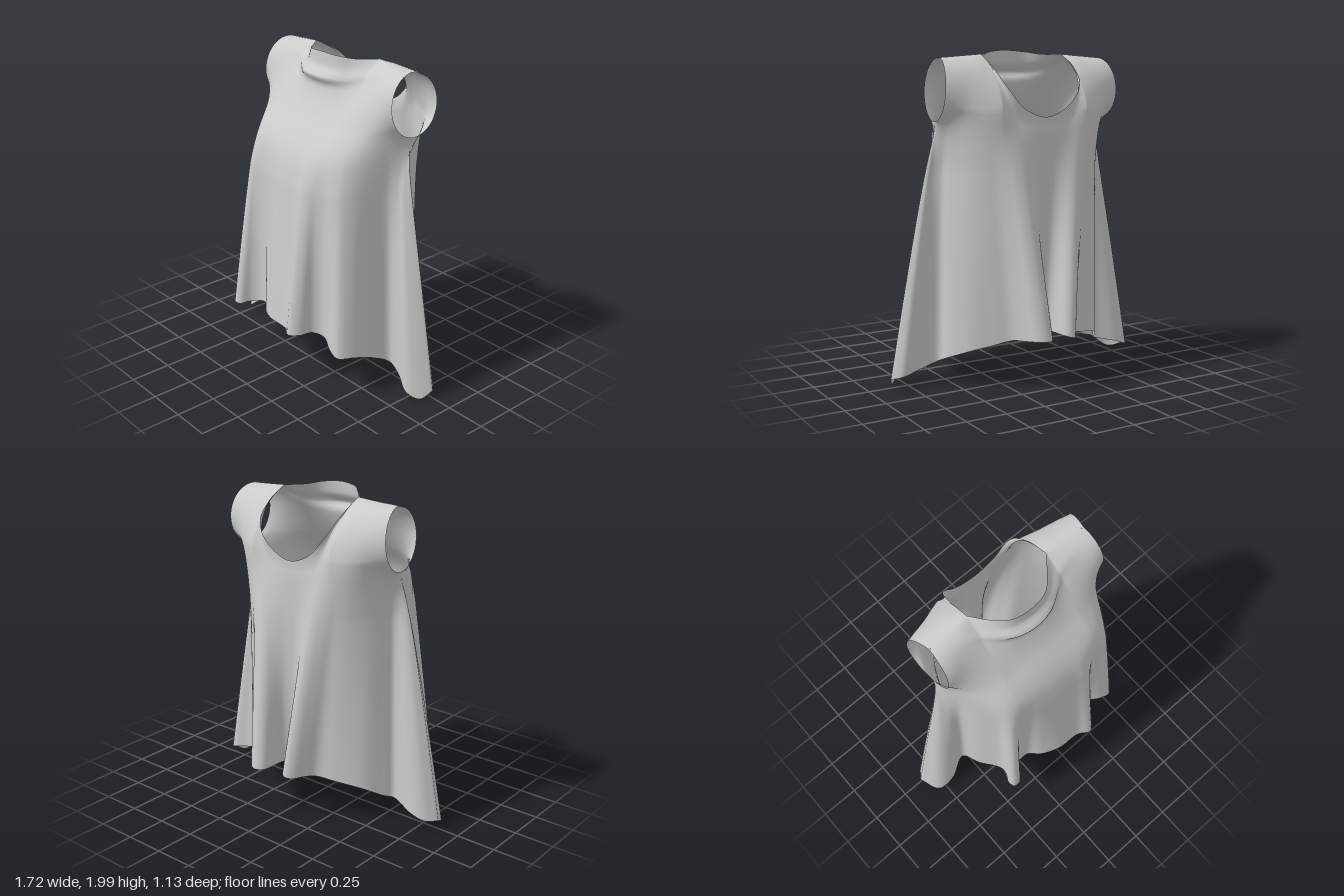
import * as THREE from 'three';
import { mergeGeometries, mergeVertices } from 'three/addons/utils/BufferGeometryUtils.js';

const V = (x, y, z) => new THREE.Vector3(x, y, z);
const { lerp, smoothstep } = THREE.MathUtils;
const curve = (pts) => {
  const c = new THREE.CatmullRomCurve3(pts.map((p) => V(...p)), false, 'centripetal');
  c.arcLengthDivisions = 600;
  return c;
};
const COLS = 150, YOKE_ROWS = 30, SKIRT_ROWS = 40, SEAM = 0.36;

// Wavy hems, from the left side tip to the right side tip
const frontHem = curve([
  [0.86, 0.06, 0], [0.82, 0.01, 0.07], [0.75, 0.05, 0.12], [0.65, 0.1, 0.08], [0.55, 0.14, 0.06],
  [0.52, 0.2, 0.17], [0.53, 0.27, 0.33], [0.48, 0.28, 0.43], [0.4, 0.3, 0.42], [0.3, 0.33, 0.38],
  [0.24, 0.35, 0.42], [0.23, 0.36, 0.51], [0.18, 0.36, 0.56], [0.1, 0.36, 0.52], [-0.05, 0.36, 0.51],
  [-0.17, 0.35, 0.46], [-0.24, 0.35, 0.4], [-0.31, 0.34, 0.4], [-0.36, 0.33, 0.44], [-0.39, 0.32, 0.5],
  [-0.44, 0.32, 0.505], [-0.455, 0.31, 0.46], [-0.42, 0.28, 0.36], [-0.5, 0.2, 0.2], [-0.55, 0.14, 0.08],
  [-0.68, 0.09, 0.14], [-0.8, 0.01, 0.12], [-0.86, 0.06, 0],
]);
const backHem = curve([
  [0.86, 0.06, 0], [0.8, 0.08, -0.05], [0.7, 0.1, -0.03], [0.56, 0.14, -0.03], [0.53, 0.18, -0.12],
  [0.45, 0.23, -0.23], [0.33, 0.27, -0.31], [0.24, 0.3, -0.37], [0.2, 0.31, -0.46], [0.17, 0.32, -0.54],
  [0.11, 0.32, -0.57], [0.065, 0.32, -0.54], [0.045, 0.32, -0.37], [0, 0.32, -0.34], [-0.03, 0.32, -0.37],
  [-0.045, 0.32, -0.49], [-0.08, 0.31, -0.52], [-0.12, 0.3, -0.5], [-0.16, 0.3, -0.43], [-0.2, 0.29, -0.36],
  [-0.31, 0.27, -0.31], [-0.45, 0.23, -0.22], [-0.53, 0.16, -0.1], [-0.56, 0.14, -0.05],
  [-0.72, 0.1, -0.09], [-0.8, 0.07, -0.07], [-0.86, 0.06, 0],
]);

// Half necklines, from the shoulder to the middle: high in front, scooped behind
const mirrored = (pts) => curve([...pts, ...pts.slice(0, -1).reverse().map(([x, y, z]) => [-x, y, z])]);
const frontNeck = mirrored([[0.28, 1.975, -0.07], [0.2, 1.975, 0.03], [0.12, 1.99, 0.105], [0, 2, 0.13]]);
const backNeck = mirrored([[0.28, 1.975, -0.07], [0.28, 1.91, -0.2], [0.26, 1.81, -0.315],
  [0.225, 1.75, -0.345], [0.14, 1.66, -0.35], [0, 1.61, -0.355]]);

// Ring under the arms where the yoke meets the skirt
function chest(u, front) {
  const c = Math.cos(Math.PI * u), s = Math.max(0, Math.sin(Math.PI * u));
  const round = Math.sin(Math.PI / 2 * s);
  return V(0.585 * Math.sign(c) * Math.abs(c) ** 0.8,
    1.585 - (front ? 0.135 : 0.07) * s,
    -0.06 + (front ? 0.46 * round ** 3 : -0.3 * round ** 4));
}

// Upper edge: shoulder seam, neckline, shoulder seam
function topEdge(u, front) {
  const neck = front ? frontNeck : backNeck;
  const a = Math.min(u, 1 - u);
  if (a >= SEAM) return neck.getPointAt((u - SEAM) / (1 - 2 * SEAM));
  const p = V(0.55, 1.955, -0.06).lerp(V(0.28, 1.975, -0.07), a / SEAM);
  if (u > 0.5) p.x *= -1;
  return p;
}

// Yoke: v runs from the chest (0) to the top edge (1); its sides follow the armholes
function yoke(u, v, front) {
  const low = chest(u, front), high = topEdge(u, front);
  const p = low.clone().lerp(high, v);
  const side = Math.abs(2 * u - 1), f = smoothstep(side, 0, 0.5);
  const arch = Math.sin(Math.PI * v);
  // Depth wanted halfway up, from the armhole edge to the middle
  const inward = Math.max(0, 1 - ((low.x + high.x) / 2 / 0.565) ** 2);
  const depth = front ? 0.105 + 0.085 * inward : -0.225 - 0.13 * inward;
  p.y += f * (0.185 * (1 - Math.cos(Math.PI * v)) - 0.37 * v);
  p.z += (depth - (low.z + high.z) / 2) * arch;
  if (front) {
    // Soft cowl fold below the neckline
    const fold = Math.exp(-(((v - 0.75 - 0.6 * p.x * p.x) / 0.055) ** 2));
    p.z += 0.045 * fold * Math.exp(-((p.x / 0.26) ** 2));
  } else {
    // Armholes flare outwards behind
    p.x += 0.025 * Math.sign(p.x) * arch * smoothstep(side, 0.6, 1);
  }
  return p;
}

// Skirt: t runs from the chest (0) to the hem (1), drawn in and forward a little under the arms
function skirt(u, t, front) {
  const p = chest(u, front);
  const hem = (front ? frontHem : backHem).getPointAt(u);
  const spread = t ** 0.88, c = Math.cos(Math.PI * u), side = c ** 4 * (1 - t);
  p.set(lerp(p.x, hem.x, spread), lerp(p.y, hem.y, t), lerp(p.z, hem.z, spread));
  p.x -= 0.035 * Math.sign(c) * side * (1 - Math.exp(-t / 0.025));
  p.z += 0.05 * side * (1 - Math.exp(-t / 0.08));
  return p;
}

// One half of the garment as a grid of columns running from top to hem
function half(front) {
  const rows = YOKE_ROWS + SKIRT_ROWS, w = COLS + 1, pos = [], idx = [];
  const columns = Array.from({ length: w }, (_, i) => {
    const u = i / COLS;
    const col = [];
    for (let j = 0; j <= rows; j++) {
      col.push(j < YOKE_ROWS ? yoke(u, 1 - j / YOKE_ROWS, front)
        : skirt(u, (j - YOKE_ROWS) / SKIRT_ROWS, front));
    }
    // Round the bend between yoke and skirt, leaving armholes and side seams alone
    const soft = 0.5 * smoothstep(Math.min(u, 1 - u), 0, 0.15);
    for (let pass = 0; pass < 30; pass++) {
      for (let j = YOKE_ROWS - 9; j <= YOKE_ROWS + 6; j++) {
        col[j].lerp(col[j - 1].clone().add(col[j + 1]).multiplyScalar(0.5), soft);
      }
    }
    return col;
  });
  for (let j = 0; j <= rows; j++) {
    for (let i = 0; i <= COLS; i++) {
      pos.push(...columns[i][j].toArray());
      if (i === COLS || j === rows) continue;
      const a = j * w + i, b = a + 1, c = a + w, d = c + 1;
      if (front) idx.push(a, b, c, b, d, c);
      else idx.push(a, c, b, b, c, d);
    }
  }
  const g = new THREE.BufferGeometry();
  g.setAttribute('position', new THREE.Float32BufferAttribute(pos, 3));
  g.setIndex(idx);
  return g;
}

export function createModel() {
  const group = new THREE.Group();
  group.name = 'sleevelessBlouse';
  // Weld front and back at the shoulders and sides for smooth shading
  const cloth = mergeVertices(mergeGeometries([half(true), half(false)]), 1e-4);
  cloth.computeVertexNormals();
  const mesh = new THREE.Mesh(cloth,
    new THREE.MeshStandardMaterial({ color: 0xcccccc, side: THREE.DoubleSide }));
  mesh.name = 'drapedCloth';
  group.add(mesh);
  return group;
}
